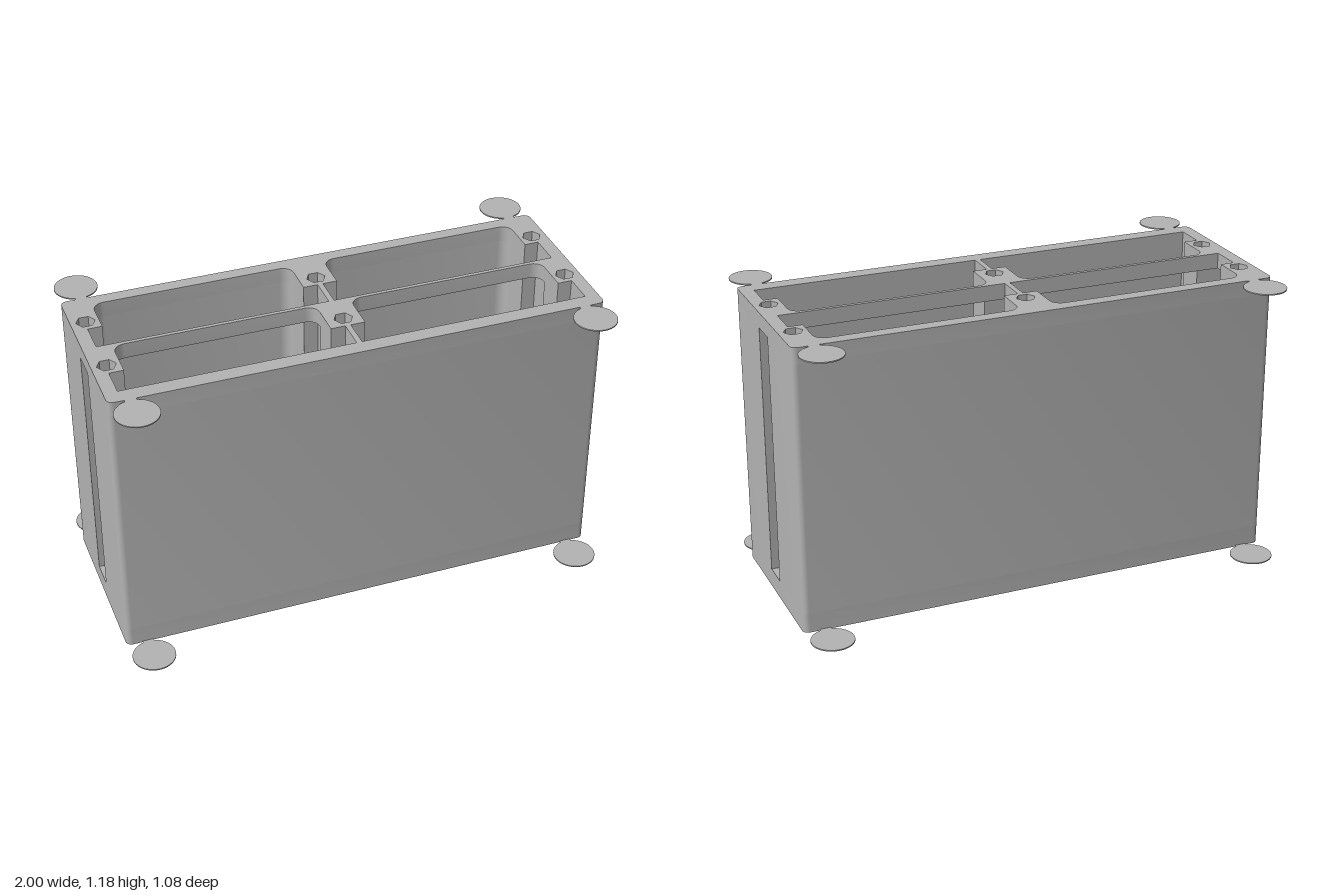
import * as THREE from 'three';
import { toCreasedNormals } from 'three/addons/utils/BufferGeometryUtils.js';

const H = 1.18, SLOT_LOW = 0.08, SLOT_HIGH = 1.115, SLOT_Z = 0.055;
const HALF_Z = 0.362, EDGE_R = 0.025, CELL_R = 0.045;
const SCREWS = [-0.94, 0, 0.94].flatMap(x => [[x, -0.195], [x, 0.12]]);

// Closed outline from [x, z, cornerRadius] points (shape y is -z)
function outline(points, PathClass = THREE.Shape) {
  const path = new PathClass(), n = points.length;
  const v = points.map(p => new THREE.Vector2(p[0], -p[1]));
  for (let i = 0; i < n; i++) {
    const c = v[i], r = points[i][2] || 0;
    const toward = (q, d) => q.clone().sub(c).setLength(d).add(c);
    const prev = v[(i + n - 1) % n], next = v[(i + 1) % n];
    const a = r ? toward(prev, r) : c, b = r ? toward(next, r) : c;
    if (i === 0) path.moveTo(a.x, a.y); else path.lineTo(a.x, a.y);
    if (r) {
      const h1 = toward(prev, r * 0.45), h2 = toward(next, r * 0.45);
      path.bezierCurveTo(h1.x, h1.y, h2.x, h2.y, b.x, b.y);
    }
  }
  path.closePath();
  return path;
}

// Regular hole with the given number of sides
function hole([x, z], r, sides) {
  const pts = [];
  for (let i = 0; i < sides; i++) {
    const a = i / sides * Math.PI * 2;
    pts.push([x + r * Math.cos(a), z + r * Math.sin(a)]);
  }
  return outline(pts, THREE.Path);
}

// Stand a shape upright between two heights
function slab(shape, y0, y1) {
  const g = new THREE.ExtrudeGeometry(shape, { depth: y1 - y0, bevelEnabled: false, curveSegments: 6 });
  g.rotateX(-Math.PI / 2).translate(0, y0, 0);
  return toCreasedNormals(g, 0.6);
}

// One cell opening: narrow between the screw posts, wider in front of them
function cell(side, back, step, front) {
  const pts = [
    [-0.887, back, CELL_R], [-0.07, back, CELL_R], [-0.07, step], [-0.011, step],
    [-0.011, front], [-0.945, front], [-0.945, step], [-0.887, step],
  ];
  return outline(pts.map(([x, z, r]) => [x * side, z, r]), THREE.Path);
}

// Append the mirror image so the outline runs from left to right
const mirrored = pts => [...pts, ...pts.slice().reverse().map(([x, z, r]) => [-x, z, r])];

export function createModel() {
  const model = new THREE.Group();
  model.name = 'cellHolder';
  const plastic = new THREE.MeshStandardMaterial({ color: 0xb3b3b3 });
  plastic.name = 'grey plastic';
  const add = (name, geometry) => {
    const mesh = new THREE.Mesh(geometry, plastic);
    mesh.name = name;
    model.add(mesh);
    return mesh;
  };

  // Complete frames above and below the side slots
  const frame = (radius, sides) => {
    const s = outline([[-1, HALF_Z, EDGE_R], [1, HALF_Z, EDGE_R], [1, -HALF_Z, EDGE_R], [-1, -HALF_Z, EDGE_R]]);
    for (const side of [-1, 1]) {
      s.holes.push(cell(side, -0.307, -0.142, -0.013), cell(side, 0.003, 0.174, 0.297));
    }
    for (const p of SCREWS) s.holes.push(hole(p, radius, sides));
    return s;
  };
  add('bottomFrame', slab(frame(0.032, 24), 0, SLOT_LOW));
  add('topFrame', slab(frame(0.038, 6), SLOT_HIGH, H));

  // Front and back halves of the body, separated by the slot
  const backHalf = outline([
    ...mirrored([[-1, -SLOT_Z], [-0.945, -SLOT_Z], [-0.945, -0.142], [-0.887, -0.142],
      [-0.887, -0.307, CELL_R], [-0.07, -0.307, CELL_R], [-0.07, -0.142], [-0.011, -0.142], [-0.011, -SLOT_Z]]),
    [1, -HALF_Z, EDGE_R], [-1, -HALF_Z, EDGE_R],
  ]);
  const frontHalf = outline([
    ...mirrored([[-1, SLOT_Z], [-0.887, SLOT_Z], [-0.887, 0.174], [-0.945, 0.174],
      [-0.945, 0.297], [-0.011, 0.297], [-0.011, 0.174], [-0.07, 0.174], [-0.07, SLOT_Z]]),
    [1, HALF_Z, EDGE_R], [-1, HALF_Z, EDGE_R],
  ]);
  for (const p of SCREWS) (p[1] < 0 ? backHalf : frontHalf).holes.push(hole(p, 0.023, 24));
  add('backBody', slab(backHalf, SLOT_LOW, SLOT_HIGH));
  add('frontBody', slab(frontHalf, SLOT_LOW, SLOT_HIGH));

  // Sloped ledges at the foot of each cell
  const profile = new THREE.Shape([[0, 0], [0, 0.08], [0.063, 0.08], [0.063, 0.065]]
    .map(p => new THREE.Vector2(...p)));
  const ledge = new THREE.ExtrudeGeometry(profile, { depth: 0.595, bevelEnabled: false });
  ledge.rotateY(Math.PI / 2).translate(-0.2975, 0, 0);
  for (const x of [-0.4775, 0.4775]) {
    for (const z of [-0.013, 0.297]) add('cellLedge', ledge).position.set(x, 0, z);
  }

  // Thin corner discs with short necks, at the bottom and the top
  const disc = new THREE.CylinderGeometry(0.086, 0.086, 0.005, 40);
  const neck = new THREE.BoxGeometry(0.045, 0.005, 0.05);
  for (const y of [0.0025, H - 0.0025]) {
    for (const x of [-0.914, 0.914]) {
      for (const side of [-1, 1]) {
        add('cornerDisc', disc).position.set(x, y, side * 0.454);
        add('discNeck', neck).position.set(x, y, side * 0.375);
      }
    }
  }
  return model;
}
